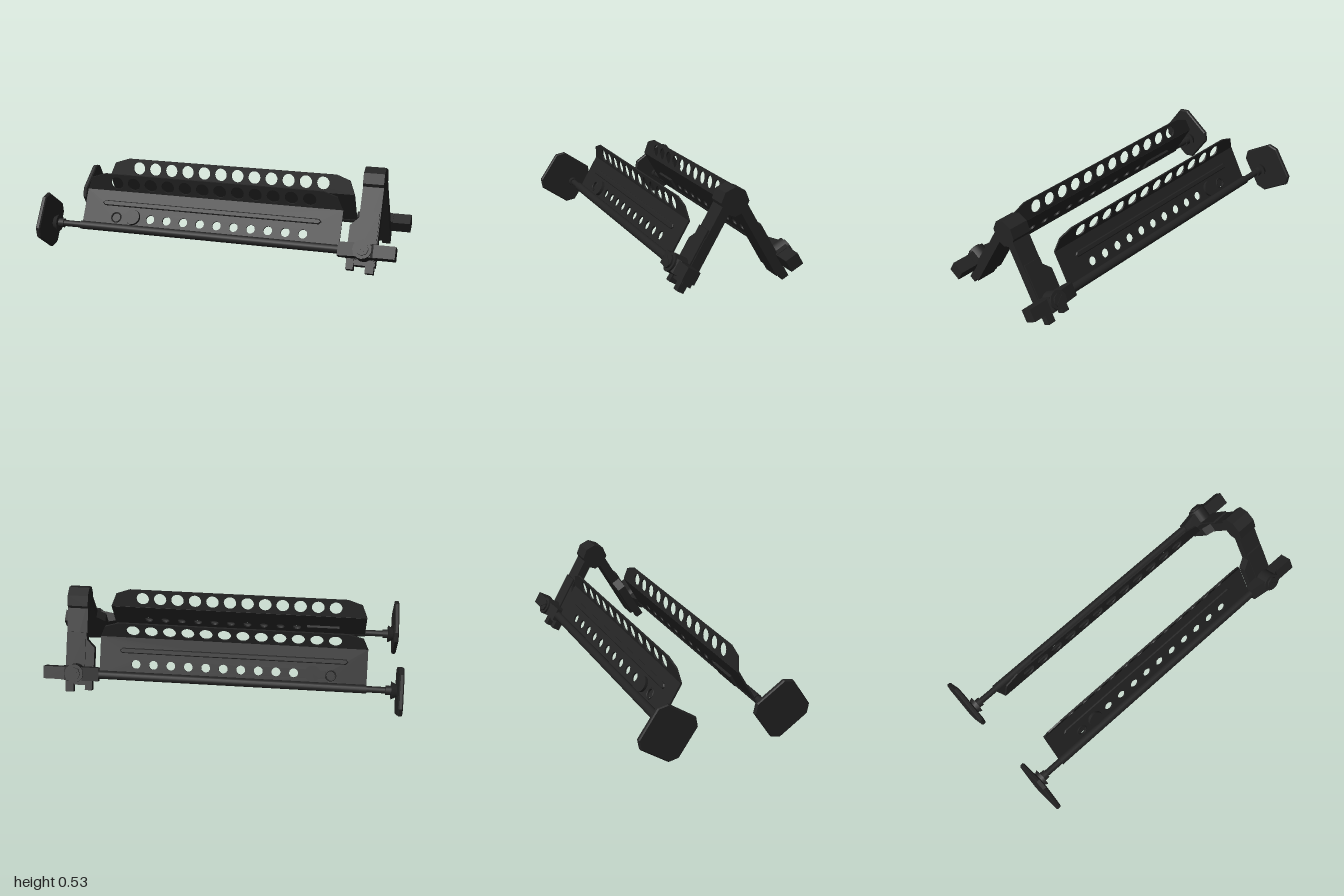
import * as THREE from 'three';

const black = new THREE.MeshStandardMaterial({ color: 0x232323 });
black.name = 'matte black';

// Extruded polygon, centred on its depth, with optional round holes [x, y, r]
function plate(points, depth, holes = [], bevel = 0) {
  const shape = new THREE.Shape(points.map(p => new THREE.Vector2(p[0], p[1])));
  for (const [x, y, r] of holes) {
    const hole = new THREE.Path();
    hole.absarc(x, y, r, 0, Math.PI * 2, true);
    shape.holes.push(hole);
  }
  const g = new THREE.ExtrudeGeometry(shape, {
    depth: depth - 2 * bevel, curveSegments: 10, bevelEnabled: bevel > 0,
    bevelSize: bevel, bevelOffset: -bevel, bevelThickness: bevel, bevelSegments: 1,
  });
  return g.translate(0, 0, -depth / 2 + bevel);
}

const box = (w, h, d) => new THREE.BoxGeometry(w, h, d);
const rodX = (r0, r1, len, sides = 16) => new THREE.CylinderGeometry(r0, r1, len, sides).rotateZ(Math.PI / 2);
const discZ = (r0, r1, len, sides = 16) => new THREE.CylinderGeometry(r0, r1, len, sides).rotateX(Math.PI / 2);

// One folded leg; m = 1 is the front (+z) leg, m = -1 the rear one.
// Local y runs up the arm, local z points away from the centre.
function buildLeg(m) {
  const leg = new THREE.Group();
  leg.name = m > 0 ? 'frontLeg' : 'rearLeg';
  leg.rotation.x = -m * Math.PI / 6;
  const add = (name, geometry, x, y, z, rx = 0) => {
    const mesh = new THREE.Mesh(geometry, black);
    mesh.name = name;
    mesh.position.set(x, y, m * z);
    mesh.rotation.x = m * rx;
    leg.add(mesh);
    return mesh;
  };

  // Perforated guard: side panel, flared flange and rolled lower edge
  const small = [[-0.605, 0.042, 0.026]];
  for (let i = 0; i < 10; i++) small.push([-0.4 + i * 0.0983, 0.046, 0.025]);
  add('guardPanel', plate([[-0.805, -0.02], [0.69, -0.02], [0.69, 0.197], [-0.805, 0.197]], 0.01, small), 0, 0, 0.302);

  const big = [];
  for (let i = 0; i < 12; i++) big.push([-0.622 + i * 0.1024, 0.053, 0.037]);
  add('guardFlange', plate([[-0.805, 0], [0.69, 0], [0.66, 0.078], [0.58, 0.107],
    [-0.69, 0.107], [-0.775, 0.078]], 0.009, big), 0, 0.196, 0.301, 0.69);
  add('guardRolledEdge', rodX(0.024, 0.024, 1.495), -0.0575, -0.021, 0.317);

  // Pressed stiffening rib
  add('guardRib', plate([[-0.7, 0], [-0.685, -0.015], [0.565, -0.015], [0.58, 0],
    [0.565, 0.015], [-0.685, 0.015]], 0.014, [], 0.005), 0, 0.122, 0.308);

  // Release button and the latch plate behind it
  add('latchButton', discZ(0.043, 0.045, 0.022, 20), -0.505, 0.05, 0.313);
  add('latchPlate', box(0.19, 0.07, 0.014), -0.555, 0.052, 0.286);
  add('latchRing', new THREE.TorusGeometry(0.028, 0.004, 6, 18), -0.605, 0.042, 0.307);

  // Sliding rod and foot
  add('legRod', rodX(0.018, 0.018, 1.72), -0.11, -0.021, 0.317);
  add('footHub', rodX(0.05, 0.034, 0.03), -0.955, -0.021, 0.317)
    .geometry.rotateY(Math.PI);
  add('footCollar', rodX(0.026, 0.026, 0.04), -0.93, -0.021, 0.317);
  const a = 0.1325, c = 0.0925;
  const pad = plate([[a, c], [c, a], [-c, a], [-a, c], [-a, -c], [-c, -a], [c, -a], [a, -c]], 0.026, [], 0.006);
  add('footPad', pad.rotateY(Math.PI / 2), -0.983, -0.018, 0.361, -0.07);

  // Tapered hinge housing, end stub and pivot bolt
  const housing = plate([[0.69, m * 0.295], [0.69, m * 0.34], [0.78, m * 0.357], [0.87, m * 0.357],
    [0.9, m * 0.345], [0.9, m * 0.28], [0.76, m * 0.28]], 0.075);
  add('hingeHousing', housing.rotateX(Math.PI / 2), 0, -0.02, 0);
  add('endStub', box(0.14, 0.07, 0.074), 0.93, -0.02, 0.315);
  add('pivotBolt', discZ(0.052, 0.052, 0.1), 0.825, -0.018, 0.317);
  add('boltHead', discZ(0.036, 0.036, 0.012, 8), 0.825, -0.018, 0.371);
  add('boltSlot', box(0.07, 0.009, 0.008), 0.825, -0.018, 0.376).rotation.z = -0.6;

  // Arm from the head down to the hinge, with fork block and prongs
  add('upperArm', box(0.115, 0.49, 0.052), 0.8325, 0.155, 0.253);
  add('armSleeve', box(0.105, 0.27, 0.06), 0.8325, 0.075, 0.26);
  add('forkBlock', plate([[0.73, -0.06], [0.89, -0.06], [0.89, 0.17], [0.775, 0.17], [0.73, 0.125]], 0.05), 0, 0, 0.257);
  add('sideProng', box(0.04, 0.07, 0.045), 0.755, -0.082, 0.265);
  add('lowerProng', box(0.046, 0.06, 0.04), 0.863, -0.1, 0.265);
  add('prongPin', rodX(0.013, 0.013, 0.13, 8), 0.81, -0.07, 0.265);
  return leg;
}

export function createModel() {
  const model = new THREE.Group();
  model.name = 'foldedBipod';
  model.add(buildLeg(1), buildLeg(-1));

  // Eight-sided head joining the two arms
  const head = new THREE.Mesh(
    new THREE.CylinderGeometry(0.077, 0.077, 0.115, 8).toNonIndexed().rotateZ(Math.PI / 2), black);
  head.geometry.computeVertexNormals();
  head.name = 'head';
  head.position.set(0.8325, 0.457, 0);
  model.add(head);
  return model;
}
